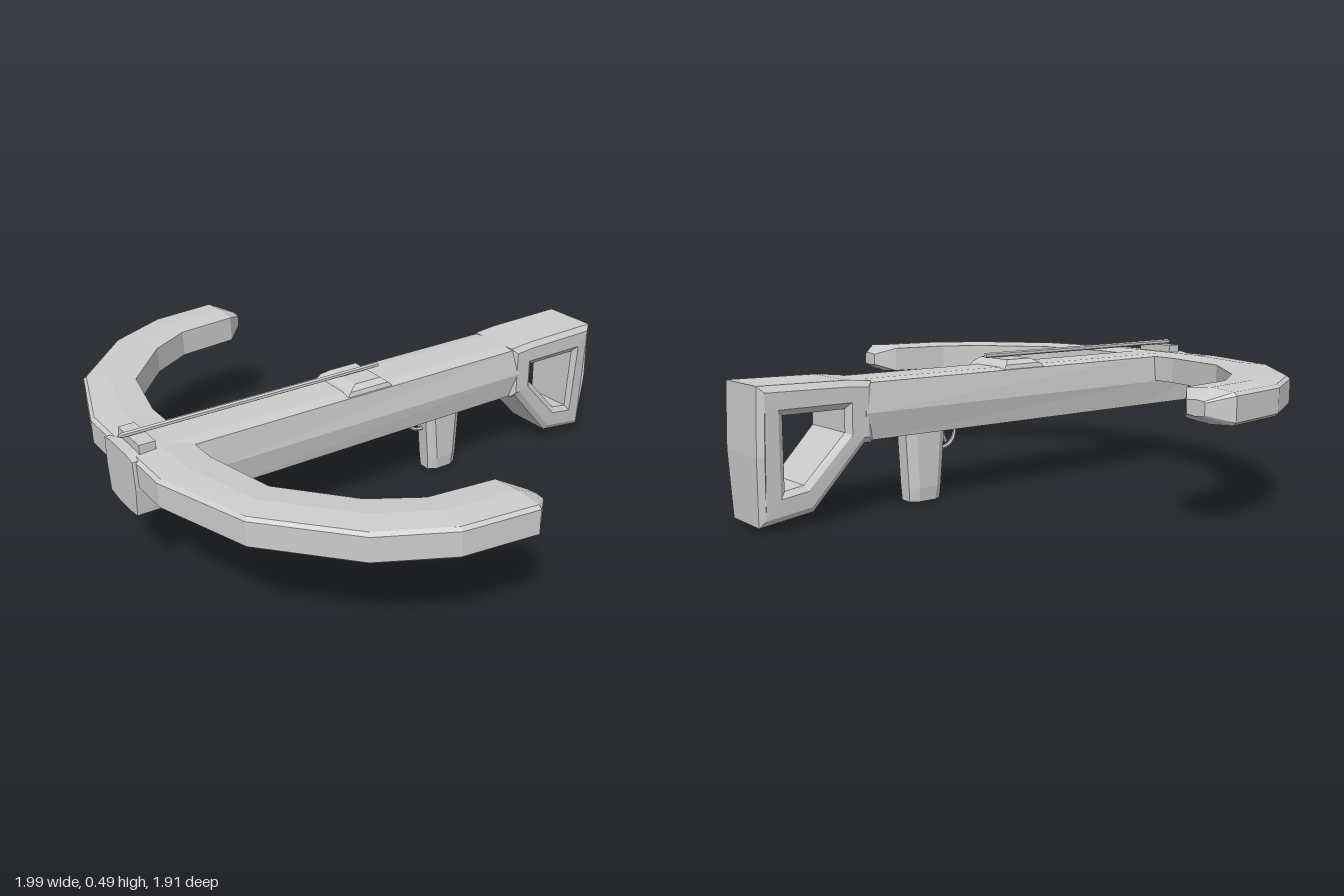
import * as THREE from 'three';

const material = new THREE.MeshStandardMaterial({ color: 0xcccccc, flatShading: true });

function addMesh(group, name, geometry) {
  const mesh = new THREE.Mesh(geometry, material);
  mesh.name = name;
  group.add(mesh);
  return mesh;
}

// Skins a row of closed cross-sections ([x, y, z] points) and caps both ends.
function loft(sections) {
  const n = sections[0].length;
  const pts = sections.flat().map((p) => new THREE.Vector3(...p));
  const index = [];
  for (let s = 0; s < sections.length - 1; s++) {
    for (let i = 0; i < n; i++) {
      const a = s * n + i, b = s * n + ((i + 1) % n);
      index.push(a, b, b + n, a, b + n, a + n);
    }
  }
  const last = (sections.length - 1) * n;
  for (let i = 1; i < n - 1; i++) {
    index.push(0, i + 1, i, last, last + i, last + i + 1);
  }
  // Turn the faces outward when the enclosed volume comes out negative.
  let volume = 0;
  const cross = new THREE.Vector3();
  for (let i = 0; i < index.length; i += 3) {
    volume += pts[index[i]].dot(cross.crossVectors(pts[index[i + 1]], pts[index[i + 2]]));
  }
  if (volume < 0) index.reverse();
  const geometry = new THREE.BufferGeometry().setFromPoints(pts);
  geometry.setIndex(index);
  geometry.computeVertexNormals();
  return geometry;
}

// Long body with slightly bulging sides
function bodySection(z, bulge) {
  const right = [[0.04, 0.242], [0.1, 0.25], [0.105 + bulge, 0.34], [0.105, 0.436], [0.06, 0.443]];
  const left = right.map(([x, y]) => [-x, y]).reverse();
  return [...right, ...left].map(([x, y]) => [x, y, z]);
}

// Shoulder stock: side outline with a hand opening
function stockGeometry() {
  const toPoints = (list) => list.map(([x, y]) => new THREE.Vector2(x, y));
  const shape = new THREE.Shape(toPoints([
    [0.55, 0.245], [0.58, 0.245], [0.76, 0.045], [0.945, 0.02],
    [0.953, 0.24], [0.947, 0.455], [0.64, 0.45], [0.55, 0.442],
  ]));
  shape.holes.push(new THREE.Path(toPoints([
    [0.65, 0.36], [0.865, 0.36], [0.86, 0.125], [0.795, 0.135], [0.65, 0.285],
  ])));
  const geometry = new THREE.ExtrudeGeometry(shape, {
    depth: 0.206, bevelThickness: 0.015, bevelSize: 0.02, bevelOffset: -0.02, bevelSegments: 1,
  });
  geometry.translate(0, 0, -0.103).rotateY(Math.PI / 2);
  // Narrow the stock toward its foot
  const pos = geometry.attributes.position;
  for (let i = 0; i < pos.count; i++) {
    const drop = Math.max(0, 0.25 - pos.getY(i));
    pos.setX(i, pos.getX(i) * (1 - 0.7 * drop));
  }
  geometry.computeVertexNormals();
  return geometry;
}

// Curved bow: outer and inner edge stations, mirrored to the other side
function bowGeometry() {
  const half = [ // outer x, z, inner x, z, height factor
    [0.25, 0.945, 0.2, 0.75, 1],
    [0.58, 0.84, 0.46, 0.695, 1],
    [0.84, 0.61, 0.675, 0.515, 1],
    [0.96, 0.39, 0.77, 0.365, 1],
    [0.997, 0.14, 0.802, 0.14, 1],
    [0.935, 0.072, 0.865, 0.072, 0.45],
  ];
  const mirrored = half.map(([ox, oz, ix, iz, h]) => [-ox, oz, -ix, iz, h]).reverse();
  const profile = [
    [0, 0.35], [0, 0.43], [0.06, 0.44], [0.5, 0.446],
    [1, 0.437], [1, 0.343], [0.5, 0.334], [0.06, 0.34],
  ];
  return loft([...mirrored, ...half].map(([ox, oz, ix, iz, h]) =>
    profile.map(([t, y]) => [ox + (ix - ox) * t, 0.39 + (y - 0.39) * h, oz + (iz - oz) * t])));
}

// Grip section: rectangle with cut corners
function gripSection(y, front, back, halfWidth) {
  const w = halfWidth, n = halfWidth * 0.55, c = 0.03;
  return [
    [n, front], [w, front - c], [w, back + c], [n, back],
    [-n, back], [-w, back + c], [-w, front - c], [-n, front],
  ].map(([x, z]) => [x, y, z]);
}

function rectSection(halfWidth, y, front, back) {
  return [[halfWidth, y, front], [halfWidth, y, back], [-halfWidth, y, back], [-halfWidth, y, front]];
}

function tubeAlong(points, radius) {
  const curve = new THREE.CatmullRomCurve3(points.map(([y, z]) => new THREE.Vector3(0, y, z)));
  return new THREE.TubeGeometry(curve, 8, radius, 6, false);
}

export function createModel() {
  const model = new THREE.Group();
  model.name = 'crossbow';

  addMesh(model, 'body', loft([
    bodySection(0.957, 0.005), bodySection(0.7, 0.01), bodySection(-0.58, 0.015),
  ]));
  addMesh(model, 'stock', stockGeometry());
  addMesh(model, 'bow', bowGeometry());

  // Handle and trigger
  addMesh(model, 'grip', loft([
    gripSection(0.002, -0.23, -0.355, 0.04),
    gripSection(0.05, -0.226, -0.358, 0.046),
    gripSection(0.25, -0.21, -0.37, 0.046),
  ]));
  addMesh(model, 'triggerGuard', tubeAlong(
    [[0.25, -0.148], [0.21, -0.15], [0.182, -0.17], [0.172, -0.195], [0.172, -0.22]], 0.007));
  addMesh(model, 'trigger', tubeAlong(
    [[0.25, -0.195], [0.22, -0.197], [0.19, -0.185]], 0.006));

  // Latch, front rest and bolt on top of the body
  addMesh(model, 'latch', loft([
    rectSection(0.1, 0.435, 0.18, -0.005),
    rectSection(0.095, 0.452, 0.165, 0.01),
    rectSection(0.075, 0.468, 0.135, 0.03),
  ]));
  addMesh(model, 'boltRest', new THREE.BoxGeometry(0.156, 0.035, 0.055)).position.set(0, 0.454, 0.893);
  const bolt = addMesh(model, 'bolt', new THREE.CylinderGeometry(0.009, 0.009, 0.95, 6));
  bolt.rotation.x = Math.PI / 2;
  bolt.position.set(0, 0.479, 0.465);
  const tip = addMesh(model, 'boltTip', new THREE.ConeGeometry(0.009, 0.018, 6));
  tip.rotation.x = Math.PI / 2;
  tip.position.set(0, 0.479, 0.949);

  return model;
}
